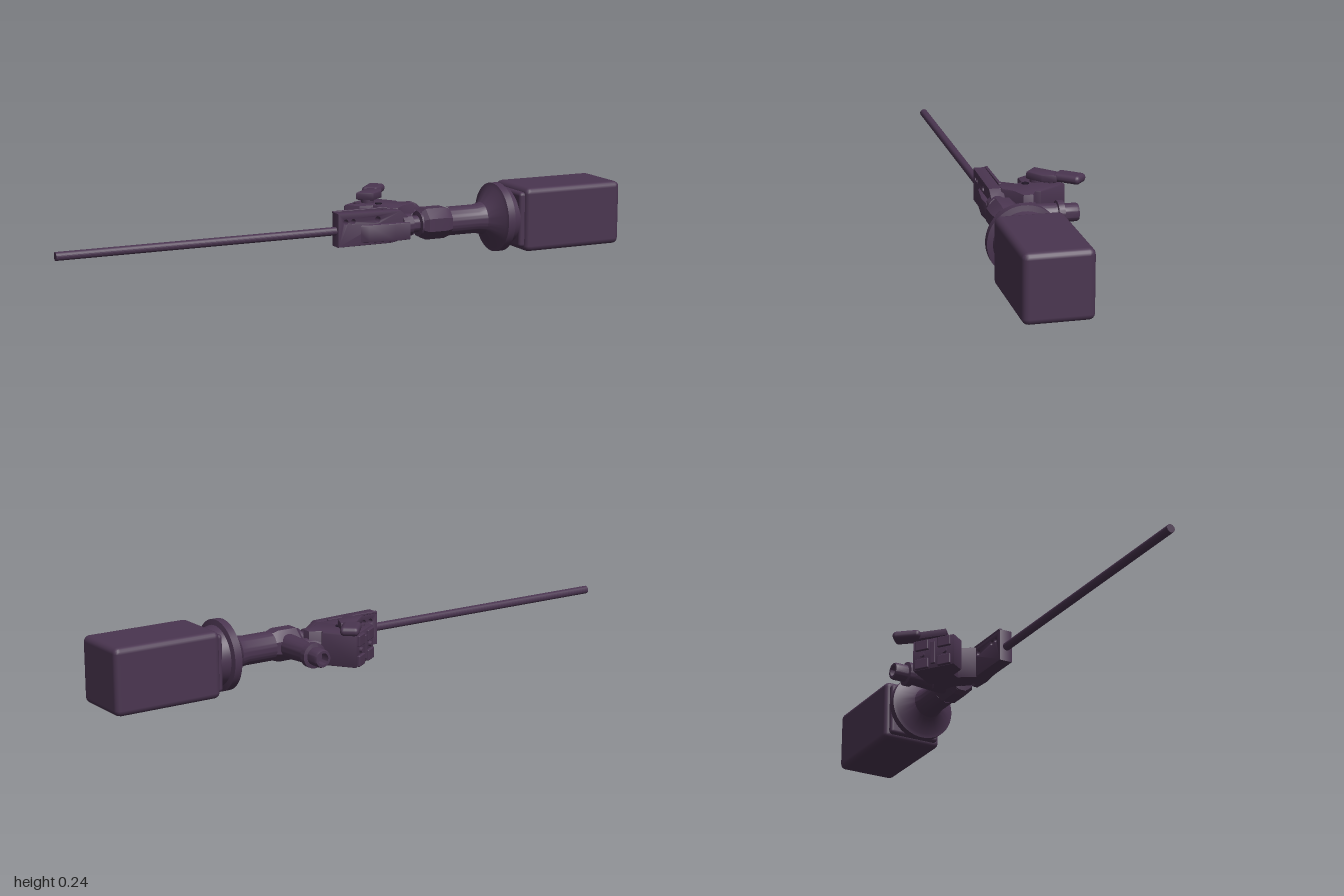
import * as THREE from 'three';
import { RoundedBoxGeometry } from 'three/addons/geometries/RoundedBoxGeometry.js';
import { toCreasedNormals } from 'three/addons/utils/BufferGeometryUtils.js';

const AY = 0.119, AZ = 0.085; // main optical axis

export function createModel() {
  const group = new THREE.Group();
  const mat = new THREE.MeshStandardMaterial({ color: 0x4a3550 });
  const dark = new THREE.MeshStandardMaterial({ color: 0x221828 });

  const add = (name, geo, x = 0, y = 0, z = 0, parent = group, m = mat) => {
    const mesh = new THREE.Mesh(geo, m);
    mesh.name = name;
    mesh.position.set(x, y, z);
    parent.add(mesh);
    return mesh;
  };
  const box = (name, w, h, d, x, y, z, r = 0.004, parent = group) =>
    add(name, new RoundedBoxGeometry(w, h, d, 2, r), x, y, z, parent);

  // Profile points are [position along axis, radius]
  const turned = (pts, seg = 40) => toCreasedNormals(
    new THREE.LatheGeometry(pts.map(([a, r]) => new THREE.Vector2(r, a)), seg), 0.5);
  const alongX = (name, pts, seg) =>
    add(name, turned(pts, seg).rotateZ(-Math.PI / 2), 0, AY, AZ);

  // Outline points are [x, z]; the slab spans y0..y1
  const slab = (name, pts, y0, y1, bevel = 0.004) => {
    const shape = new THREE.Shape(pts.map(([x, z]) => new THREE.Vector2(x, -z)));
    const geo = new THREE.ExtrudeGeometry(shape, {
      depth: y1 - y0 - 2 * bevel, bevelEnabled: true, bevelThickness: bevel,
      bevelSize: bevel, bevelOffset: -bevel, bevelSegments: 2, curveSegments: 12 });
    geo.rotateX(-Math.PI / 2);
    return add(name, toCreasedNormals(geo, 0.6), 0, y0 + bevel, 0);
  };

  // Long insertion shaft
  alongX('shaft', [[-1, 0], [-1, 0.014], [0.3, 0.014]], 24);

  // Bridge plate: side outline with a sloping end, extruded across z
  const side = new THREE.Shape();
  side.moveTo(-0.04, 0.066);
  side.lineTo(0.15, 0.066);
  side.quadraticCurveTo(0.19, 0.068, 0.22, 0.09);
  side.lineTo(0.22, 0.15);
  side.lineTo(0.19, 0.174);
  side.lineTo(-0.04, 0.179);
  side.closePath();
  for (const [x, r] of [[-0.012, 0.008], [0.015, 0.008], [0.105, 0.01]]) {
    const hole = new THREE.Path();
    hole.absarc(x, 0.15, r, 0, Math.PI * 2, true);
    side.holes.push(hole);
  }
  const plateGeo = new THREE.ExtrudeGeometry(side, {
    depth: 0.042, bevelEnabled: true, bevelThickness: 0.003, bevelSize: 0.003,
    bevelOffset: -0.003, bevelSegments: 2, curveSegments: 10 });
  add('bridgePlate', toCreasedNormals(plateGeo, 0.6), 0, 0, 0.062);

  // Rounded cheek and lips on the bridge
  slab('bridgeCheek', [[0.02, 0.1], [0.22, 0.1], [0.22, 0.122], [0.16, 0.126], [0.07, 0.115]],
    0.075, 0.135);
  box('bridgeLip', 0.2, 0.008, 0.01, 0.06, 0.178, 0.063, 0.002);
  alongX('bridgeCollar', [[0.2, 0], [0.2, 0.037], [0.235, 0.037], [0.24, 0.028],
    [0.262, 0.028], [0.264, 0.043], [0.28, 0.043], [0.28, 0]]);

  // Angled handle block behind the bridge
  slab('handleBlock', [[0.115, 0.068], [0.155, 0.008], [0.145, -0.012], [0.095, -0.012],
    [0.062, -0.06], [0.19, -0.147], [0.258, -0.05], [0.25, -0.035], [0.288, -0.018],
    [0.288, 0.015], [0.235, 0.035], [0.2, 0.068]], 0.064, 0.177, 0.006);

  // Fittings aligned with the slanted back face
  const back = new THREE.Group();
  back.name = 'handleBackFittings';
  back.position.set(0.126, AY, -0.1035);
  back.rotation.y = 0.597;
  group.add(back);
  for (const s of [-1, 1]) {
    for (const t of [-1, 1]) box('backLug', 0.05, 0.036, 0.014, s * 0.042, t * 0.034, -0.002, 0.003, back);
    const pin = add('backPin', new THREE.CylinderGeometry(0.009, 0.009, 0.02, 20),
      s * 0.042, 0, 0, back);
    pin.rotation.x = Math.PI / 2;
  }
  box('backRail', 0.016, 0.08, 0.012, 0, 0, -0.002, 0.002, back);
  for (const s of [-1, 1])
    add('topScrew', new THREE.CylinderGeometry(0.011, 0.011, 0.01, 20), s * 0.045, 0.058, 0.028, back);
  add('pivotScrew', new THREE.CylinderGeometry(0.012, 0.012, 0.004, 20), 0.17, 0.178, -0.02, group, dark);

  // Thumb lever raised above the handle
  add('leverPost', new THREE.CylinderGeometry(0.022, 0.022, 0.03, 24), 0.15, 0.187, -0.062);
  slab('leverArm', [[0.108, -0.065], [0.155, -0.027], [0.205, -0.065], [0.225, -0.11],
    [0.185, -0.135]], 0.188, 0.214);
  const paddle = box('thumbPaddle', 0.098, 0.03, 0.062, 0.217, 0.203, -0.155, 0.014);
  paddle.rotation.y = 0.85;

  // Side port pointing backwards
  const port = add('sidePort', turned([[-0.09, 0], [-0.09, 0.04], [-0.02, 0.039], [0.075, 0.033],
    [0.083, 0.034], [0.085, 0.042], [0.105, 0.042], [0.108, 0.03], [0.148, 0.03],
    [0.155, 0.027], [0.155, 0.019], [0.12, 0.019], [0.12, 0]])
    .rotateX(-Math.PI / 2), 0.324, AY, 0);
  port.material = mat;
  const arm = add('portBrace', new THREE.CylinderGeometry(0.03, 0.036, 0.1, 24), 0.275, AY, -0.005);
  arm.rotation.z = -Math.PI / 2;

  // Chamfered coupling block and smooth neck
  alongX('couplingBlock', [[0.27, 0], [0.27, 0.045], [0.285, 0.057], [0.355, 0.057],
    [0.38, 0.048], [0.38, 0]], 8).rotation.x = Math.PI / 8;
  alongX('neck', [[0.375, 0.049], [0.48, 0.049], [0.508, 0.055], [0.515, 0.062], [0.548, 0.105],
    [0.552, 0.118], [0.578, 0.118], [0.582, 0.1], [0.605, 0.095], [0.63, 0.09], [0.63, 0]], 56);

  // Camera head
  box('cameraHead', 0.375, 0.22, 0.22, 0.8125, 0.118, AZ, 0.02);
  box('cameraFront', 0.04, 0.19, 0.19, 0.628, 0.118, AZ, 0.012);

  return group;
}
